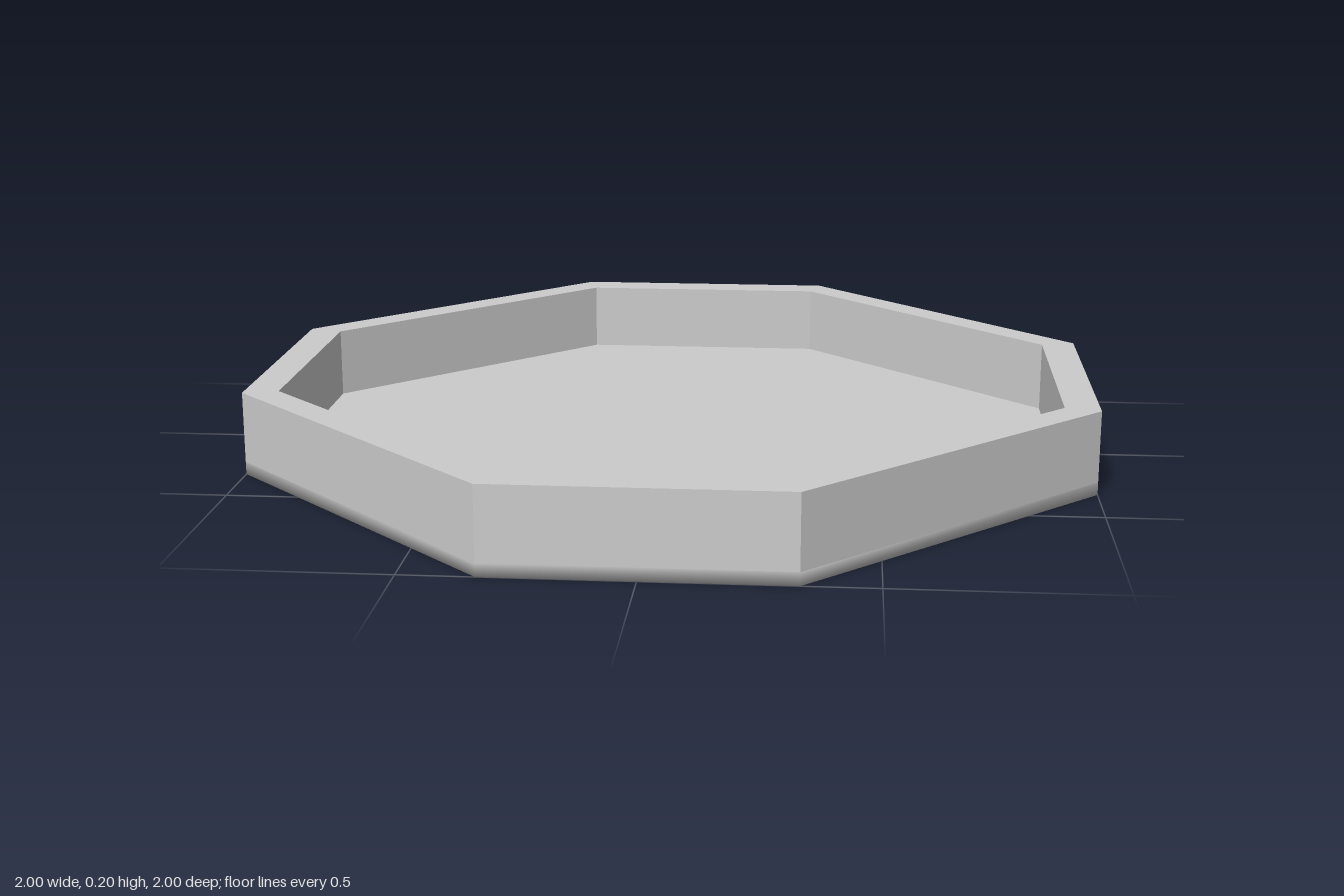
import * as THREE from 'three';

const HEIGHT = 0.2, BASE = 0.03;

// Corners of an octagon: r = half width, s = half length of the straight sides
const octagon = (r, s) => [
  [r, -s], [r, s], [s, r], [-s, r], [-r, s], [-r, -s], [-s, -r], [s, -r],
].map(([x, y]) => new THREE.Vector2(x, y));

// Underside and low edge band sharing vertices, so the shading rolls under
function baseGeometry(corners) {
  const n = corners.length, positions = [], index = [];
  for (const y of [0, BASE]) for (const c of corners) positions.push(c.x, y, -c.y);
  for (let i = 0; i < n; i++) {
    const j = (i + 1) % n;
    index.push(i, j, n + j, i, n + j, n + i);
    if (i > 0 && j > 0) index.push(0, j, i);
  }
  const geometry = new THREE.BufferGeometry();
  geometry.setAttribute('position', new THREE.Float32BufferAttribute(positions, 3));
  geometry.setIndex(index);
  geometry.computeVertexNormals();
  return geometry;
}

export function createModel() {
  const group = new THREE.Group();
  group.name = 'octagonalTray';
  const material = new THREE.MeshStandardMaterial({ color: 0xcccccc });
  const add = (name, geometry, y = 0) => {
    const mesh = new THREE.Mesh(geometry, material);
    mesh.name = name;
    mesh.position.y = y;
    group.add(mesh);
  };

  const outer = octagon(1, 0.333);
  const inner = octagon(0.918, 0.31);

  // Base
  add('base', baseGeometry(outer));

  // Floor inside the rim
  add('floor', new THREE.ShapeGeometry(new THREE.Shape(inner)).rotateX(-Math.PI / 2), BASE);

  // Raised rim wall
  const rim = new THREE.Shape(outer);
  rim.holes.push(new THREE.Path(inner));
  const wall = new THREE.ExtrudeGeometry(rim, { depth: HEIGHT - BASE, bevelEnabled: false });
  add('rim', wall.rotateX(-Math.PI / 2), BASE);

  return group;
}
